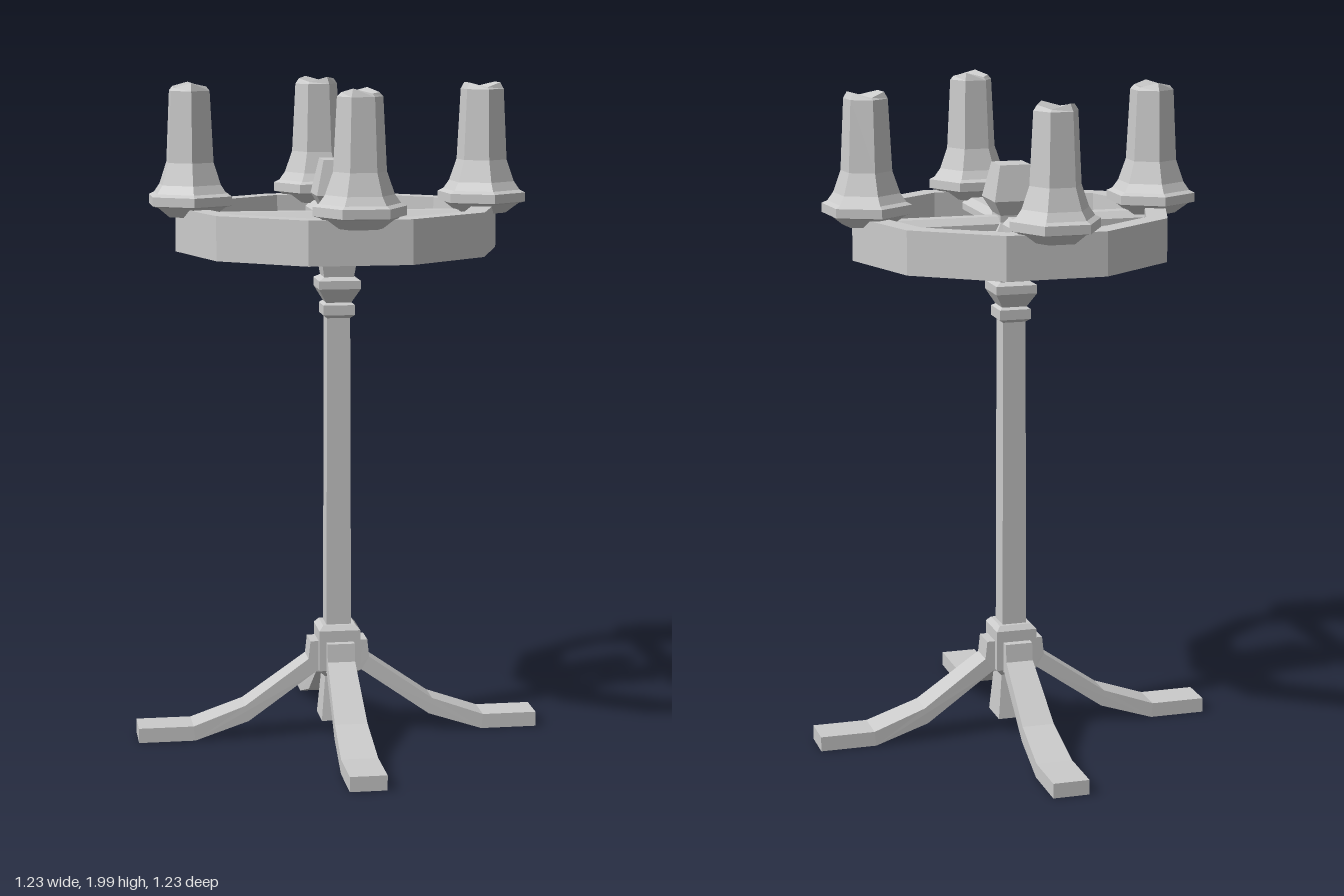
import * as THREE from 'three';

const material = new THREE.MeshStandardMaterial({ color: 0xcccccc, flatShading: true });

function part(name, geometry, parent) {
  const mesh = new THREE.Mesh(geometry, material);
  mesh.name = name;
  parent.add(mesh);
  return mesh;
}

// Faceted turning from [radius, height] pairs, bottom to top
function turned(profile, sides, phase = 0) {
  return new THREE.LatheGeometry(profile.map(([r, y]) => new THREE.Vector2(r, y)), sides, phase);
}

// Square turning from [half width, height] pairs, sides facing the axes
function square(profile) {
  return turned(profile.map(([h, y]) => [h * Math.SQRT2, y]), 4, Math.PI / 4);
}

function polygon(path, radius, sides) {
  for (let i = 0; i < sides; i++) {
    const a = (i / sides) * Math.PI * 2;
    path[i ? 'lineTo' : 'moveTo'](radius * Math.cos(a), radius * Math.sin(a));
  }
  path.closePath();
  return path;
}

// Ten-sided flat hoop
function ringGeometry() {
  const shape = polygon(new THREE.Shape(), 0.485, 10);
  shape.holes.push(polygon(new THREE.Path(), 0.42, 10));
  return new THREE.ExtrudeGeometry(shape, { depth: 0.13, bevelEnabled: false })
    .rotateX(-Math.PI / 2).translate(0, 1.5, 0);
}

// Curved leg along +x, widening towards the foot
function legGeometry() {
  const side = [[0.04, 0.2], [0.07, 0.205], [0.28, 0.058], [0.445, 0.005], [0.617, 0.005],
    [0.617, 0.05], [0.45, 0.05], [0.29, 0.107], [0.094, 0.245], [0.088, 0.3], [0.04, 0.3]];
  const shape = new THREE.Shape(side.map(([x, y]) => new THREE.Vector2(x, y)));
  const geometry = new THREE.ExtrudeGeometry(shape, { depth: 2, bevelEnabled: false }).translate(0, 0, -1);
  const p = geometry.attributes.position;
  for (let i = 0; i < p.count; i++) {
    const t = THREE.MathUtils.clamp((p.getX(i) - 0.09) / 0.36, 0, 1);
    p.setZ(i, p.getZ(i) * THREE.MathUtils.lerp(0.042, 0.055, t));
  }
  return geometry;
}

// Bar with chamfered upper edges, running along +x
function spokeGeometry() {
  const section = [[-0.04, 0], [0.04, 0], [0.04, 0.02], [0.02, 0.04], [-0.02, 0.04], [-0.04, 0.02]];
  const shape = new THREE.Shape(section.map(([x, y]) => new THREE.Vector2(x, y)));
  return new THREE.ExtrudeGeometry(shape, { depth: 0.4, bevelEnabled: false })
    .rotateY(Math.PI / 2).translate(0.03, 1.575, 0);
}

// Hexagonal candle with an uneven, slightly hollow top
function candleGeometry(seed) {
  const geometry = turned([[0.075, 1.605], [0.115, 1.635], [0.135, 1.64], [0.135, 1.667], [0.118, 1.675],
    [0.1, 1.7], [0.077, 1.765], [0.066, 1.975], [0.055, 1.99], [0, 1.975]], 6);
  const p = geometry.attributes.position;
  for (let i = 0; i < p.count; i++) {
    if (p.getY(i) < 1.98) continue;
    const a = Math.atan2(p.getZ(i), p.getX(i));
    p.setY(i, 1.99 + 0.009 * Math.cos(2 * a + seed * 1.7));
  }
  return geometry;
}

export function createModel() {
  const model = new THREE.Group();
  model.name = 'candleStand';

  // Central post with its turned details
  part('footBlock', square([[0, 0.05], [0.055, 0.05], [0.04, 0.22]]), model);
  part('legHub', square([[0, 0.19], [0.045, 0.19], [0.063, 0.21], [0.063, 0.335], [0.05, 0.35], [0, 0.35]]), model);
  part('pole', square([[0.038, 0.34], [0.035, 1.32]]), model);
  part('poleCapital', square([[0.035, 1.295], [0.048, 1.305], [0.048, 1.335], [0.038, 1.342], [0.063, 1.385],
    [0.063, 1.41], [0.045, 1.42], [0.058, 1.5], [0.067, 1.56], [0.045, 1.6]]), model);
  part('finial', square([[0.045, 1.59], [0.045, 1.62], [0.07, 1.665], [0.047, 1.77], [0, 1.77]]), model);

  part('candleRing', ringGeometry(), model);

  // Four arms, each with a leg, a spoke and a candle
  for (let i = 0; i < 4; i++) {
    const arm = new THREE.Group();
    arm.name = 'arm' + (i + 1);
    arm.rotation.y = i * Math.PI / 2;
    part('leg', legGeometry(), arm);
    part('spoke', spokeGeometry(), arm);
    const candle = part('candle', candleGeometry(i), arm);
    candle.position.x = 0.44;
    candle.rotation.y = i === 0 ? 0.1 : 0;
    model.add(arm);
  }
  return model;
}
